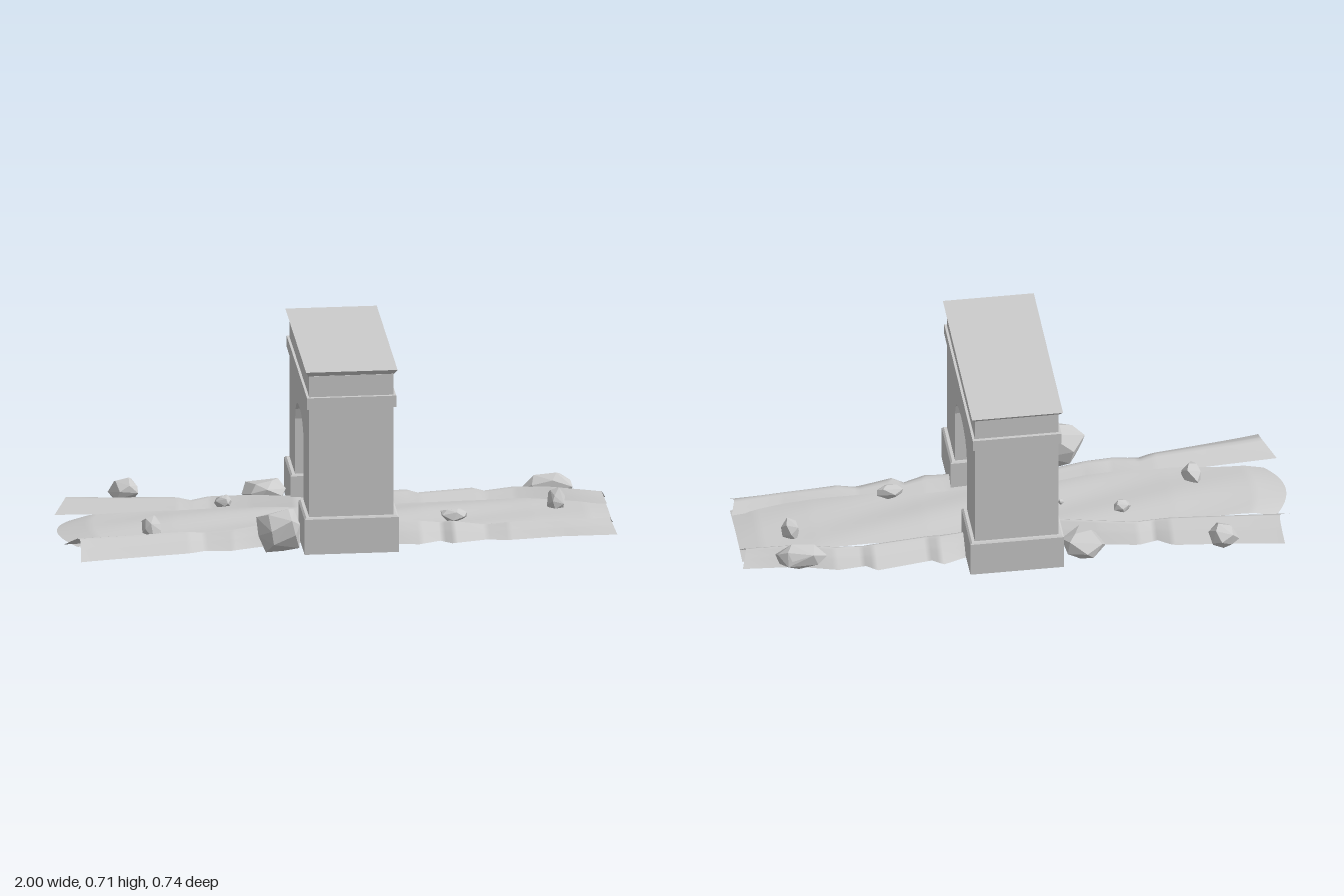
import * as THREE from 'three';
import { ConvexGeometry } from 'three/addons/geometries/ConvexGeometry.js';
import { ParametricGeometry } from 'three/addons/geometries/ParametricGeometry.js';

const ARCH_X = 0.027;
const stone = new THREE.MeshStandardMaterial({ color: 0xcccccc, flatShading: true });
const openStone = new THREE.MeshStandardMaterial({ color: 0xcccccc, flatShading: true, side: THREE.DoubleSide });
const earth = new THREE.MeshStandardMaterial({ color: 0xcccccc, side: THREE.DoubleSide });

// Piecewise-linear lookup in a list of [position, value...] stations
function lookup(stations, p, k = 1) {
  const last = stations.length - 1;
  if (p <= stations[0][0]) return stations[0][k];
  for (let i = 0; i < last; i++) {
    const a = stations[i], b = stations[i + 1];
    if (p <= b[0]) return a[k] + (b[k] - a[k]) * (p - a[0]) / (b[0] - a[0]);
  }
  return stations[last][k];
}

function seeded(seed) {
  return () => {
    seed = (seed * 16807) % 2147483647;
    return seed / 2147483647;
  };
}

function add(group, name, geometry, material) {
  const mesh = new THREE.Mesh(geometry, material);
  mesh.name = name;
  group.add(mesh);
  return mesh;
}

// Rectangular moulding: profile of [scale, y], with half sizes in x and z
function moulding(profile, halfX, halfZ, z = 0) {
  const points = profile.map(([r, y]) => new THREE.Vector2(r * Math.SQRT2, y));
  return new THREE.LatheGeometry(points, 4, Math.PI / 4)
    .scale(halfX, 1, halfZ).translate(ARCH_X, 0, z);
}

function buildArch() {
  const arch = new THREE.Group();
  arch.name = 'arch';

  // Pierced body, drawn in the z-y plane and extruded along x
  const half = [[0.15, 0.373], [0.137, 0.414], [0.107, 0.443], [0.057, 0.462]];
  const shape = new THREE.Shape();
  shape.moveTo(-0.348, 0.15);
  shape.lineTo(-0.15, 0.15);
  half.forEach(([z, y]) => shape.lineTo(-z, y));
  shape.lineTo(0, 0.467);
  [...half].reverse().forEach(([z, y]) => shape.lineTo(z, y));
  shape.lineTo(0.15, 0.15);
  shape.lineTo(0.348, 0.15);
  shape.lineTo(0.348, 0.696);
  shape.lineTo(-0.348, 0.696);
  const body = new THREE.ExtrudeGeometry(shape, { depth: 0.304, bevelEnabled: false });
  body.translate(0, 0, -0.152).rotateY(Math.PI / 2).translate(ARCH_X, 0, -0.002);
  add(arch, 'archBody', body, stone);

  // Band and flared cornice
  add(arch, 'band', new THREE.BoxGeometry(0.322, 0.043, 0.721).translate(ARCH_X, 0.596, -0.002), stone);
  add(arch, 'cornice', moulding([[0, 0.694], [0.935, 0.694], [1, 0.717], [0, 0.717]], 0.165, 0.369, -0.003), stone);

  // Plinths, hollow underneath, with a small chamfer on top
  for (const side of [1, -1]) {
    const profile = [[1, 0.026], [1, 0.158], [0.96, 0.164], [0, 0.164]];
    add(arch, side > 0 ? 'frontPlinth' : 'backPlinth', moulding(profile, 0.17, 0.111, side * 0.25 - 0.002), openStone);
  }
  return arch;
}

// Road: a thin, gently uneven strip that dips at both ends
function buildRoad() {
  const height = [[-1, 0.022], [-0.9, 0.042], [-0.6, 0.052], [-0.1, 0.05], [0.3, 0.056], [0.7, 0.05], [0.92, 0.04], [1, 0.026]];
  return new ParametricGeometry((u, v, out) => {
    const s = u * 2 - 1, x0 = v * 2 - 1;
    const x = x0 + (x0 < 0 ? 0.06 * s * s * Math.pow(-x0, 6) : -0.005 * x0);
    const z = s * (0.155 + 0.008 * Math.sin(x0 * 9));
    const ripple = 0.005 * Math.sin(x0 * 7 + s * 4) * (1 - x0 * x0);
    out.set(x, lookup(height, x0) - 0.008 * s * s + ripple, z);
  }, 16, 60);
}

// Earth bank from stations [x, outer z, inner z, crest y]
function buildBank(stations) {
  const back = stations[0][1] < 0;
  const section = [[0, 0], [0.28, 0.55], [0.52, 0.95], [0.62, 1], [0.82, 0.6], [1, 0.22]];
  return new ParametricGeometry((u, v, out) => {
    const t = back ? u : 1 - u;
    const x0 = v * 2 - 1;
    const outer = lookup(stations, x0, 1), inner = lookup(stations, x0, 2), crest = lookup(stations, x0, 3);
    const h = lookup(section, t);
    // slanted ends: the outer edge and the crest stop short
    const slant = x0 < 0 ? 0.05 * (1 - t) + 0.035 * h : -0.02 * h;
    const x = x0 + slant * Math.pow(Math.abs(x0), 8);
    out.set(x, 0.021 + (crest - 0.021) * h, outer + (inner - outer) * t);
  }, 12, 100);
}

// Rock: hull of seeded points on an ellipsoid
function buildRock([x, y, z, rx, ry, rz], seed) {
  const random = seeded(seed * 7919 + 13);
  const points = [];
  const count = 16;
  for (let i = 0; i < count; i++) {
    const c = 1 - 2 * (i + 0.5) / count, s = Math.sqrt(1 - c * c);
    const a = i * 2.4 + random() * 0.9, r = 0.88 + 0.24 * random();
    points.push(new THREE.Vector3(x + rx * r * s * Math.cos(a), y + ry * r * c, z + rz * r * s * Math.sin(a)));
  }
  return new ConvexGeometry(points);
}

export function createModel() {
  const model = new THREE.Group();
  model.name = 'archOnRoad';
  model.add(buildArch());
  add(model, 'road', buildRoad(), earth);

  add(model, 'backBank', buildBank([
    [-1, -0.328, -0.165, 0.078], [-0.8, -0.305, -0.15, 0.077], [-0.55, -0.28, -0.132, 0.077],
    [-0.5, -0.243, -0.138, 0.068], [-0.43, -0.262, -0.15, 0.076], [-0.3, -0.24, -0.135, 0.082],
    [-0.14, -0.205, -0.105, 0.085], [0.2, -0.25, -0.13, 0.082], [0.28, -0.28, -0.122, 0.08],
    [0.32, -0.25, -0.12, 0.072], [0.52, -0.282, -0.14, 0.075], [0.56, -0.25, -0.148, 0.066],
    [0.66, -0.26, -0.15, 0.075], [0.8, -0.22, -0.13, 0.08], [1, -0.205, -0.1, 0.064]]), earth);
  add(model, 'frontBank', buildBank([
    [-1, 0.347, 0.175, 0.078], [-0.75, 0.313, 0.16, 0.077], [-0.55, 0.285, 0.142, 0.077],
    [-0.5, 0.265, 0.14, 0.068], [-0.4, 0.272, 0.15, 0.076], [-0.3, 0.24, 0.145, 0.085],
    [-0.14, 0.205, 0.11, 0.085], [0.2, 0.25, 0.12, 0.085], [0.28, 0.266, 0.112, 0.083],
    [0.36, 0.232, 0.115, 0.07], [0.4, 0.266, 0.12, 0.08], [0.53, 0.235, 0.13, 0.058],
    [0.6, 0.25, 0.135, 0.068], [0.8, 0.226, 0.138, 0.066], [1, 0.226, 0.11, 0.064]]), earth);

  // Rocks: centre x, y, z and half sizes
  const rocks = new THREE.Group();
  rocks.name = 'rocks';
  [
    [-0.225, 0.1, 0.29, 0.088, 0.088, 0.078],
    [-0.222, 0.06, -0.275, 0.085, 0.05, 0.083],
    [-0.73, 0.07, -0.31, 0.054, 0.05, 0.05],
    [-0.672, 0.055, 0.088, 0.036, 0.055, 0.05],
    [-0.39, 0.085, -0.104, 0.034, 0.025, 0.025],
    [-0.183, 0.058, -0.01, 0.011, 0.011, 0.011],
    [0.42, 0.078, 0.113, 0.05, 0.028, 0.028],
    [0.805, 0.062, -0.052, 0.034, 0.054, 0.034],
    [0.795, 0.07, -0.22, 0.095, 0.05, 0.046],
  ].forEach((rock, i) => add(rocks, 'rock' + (i + 1), buildRock(rock, i + 1), stone));
  model.add(rocks);
  return model;
}
